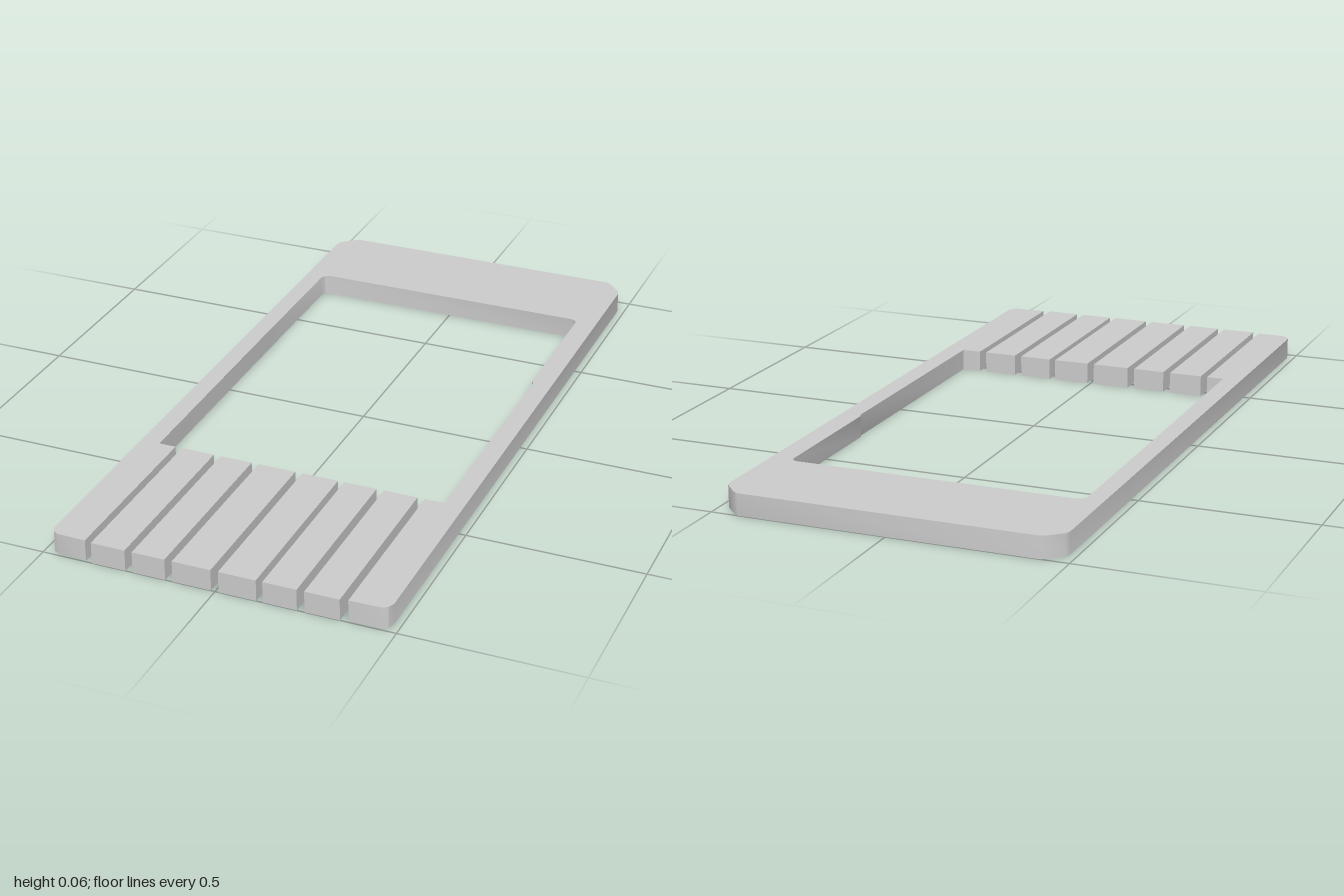
import * as THREE from 'three';
import { toCreasedNormals } from 'three/addons/utils/BufferGeometryUtils.js';

const HEIGHT = 0.062;
const BAR_BACK = 0.463;
const FRONT = 0.995;

// Extrude an outline of [x, z] points upward from the ground.
function plate(points, name, material) {
  const shape = new THREE.Shape(points.map(([x, z]) => new THREE.Vector2(x, -z)));
  const geometry = new THREE.ExtrudeGeometry(shape, { depth: HEIGHT, bevelEnabled: false });
  geometry.rotateX(-Math.PI / 2);
  const mesh = new THREE.Mesh(toCreasedNormals(geometry, 0.6), material);
  mesh.name = name;
  return mesh;
}

export function createModel() {
  const model = new THREE.Group();
  model.name = 'slottedFrame';
  const material = new THREE.MeshStandardMaterial({ color: 0xcccccc });

  // Left and right edges of the seven slots between the bars
  const slots = [
    [-0.375, -0.355], [-0.257, -0.236], [-0.142, -0.121], [-0.011, 0.01],
    [0.116, 0.134], [0.229, 0.25], [0.347, 0.368],
  ];
  const firstSlot = slots[0][0];
  const lastSlot = slots[slots.length - 1][1];

  // Frame: back plate, two side rails and the outermost bars in one outline
  model.add(plate([
    // left outer side and chamfered back corners
    [lastSlot, FRONT], [0.455, 0.993], [0.472, 0.985], [0.48, 0.965],
    [0.48, -0.935], [0.474, -0.952], [0.436, -0.992], [0.422, -1],
    [-0.422, -1], [-0.436, -0.992], [-0.474, -0.96], [-0.48, -0.945],
    // right outer side and its bar
    [-0.48, 0.965], [-0.472, 0.985], [-0.455, 0.993], [firstSlot, FRONT],
    [firstSlot, BAR_BACK], [-0.425, BAR_BACK],
    // window opening with small softened corners
    [-0.428, -0.24], [-0.428, -0.69], [-0.421, -0.703], [-0.407, -0.71],
    [0.402, -0.71], [0.414, -0.703], [0.418, -0.69], [0.418, -0.28],
    [0.424, -0.27], [0.424, BAR_BACK], [lastSlot, BAR_BACK],
  ], 'frame', material));

  // Free-standing bars between neighbouring slots
  const bars = new THREE.Group();
  bars.name = 'bars';
  for (let i = 0; i < slots.length - 1; i++) {
    const left = slots[i][1];
    const right = slots[i + 1][0];
    bars.add(plate(
      [[left, 1], [right, 1], [right, BAR_BACK], [left, BAR_BACK]],
      `bar${i + 1}`, material));
  }
  model.add(bars);
  return model;
}
